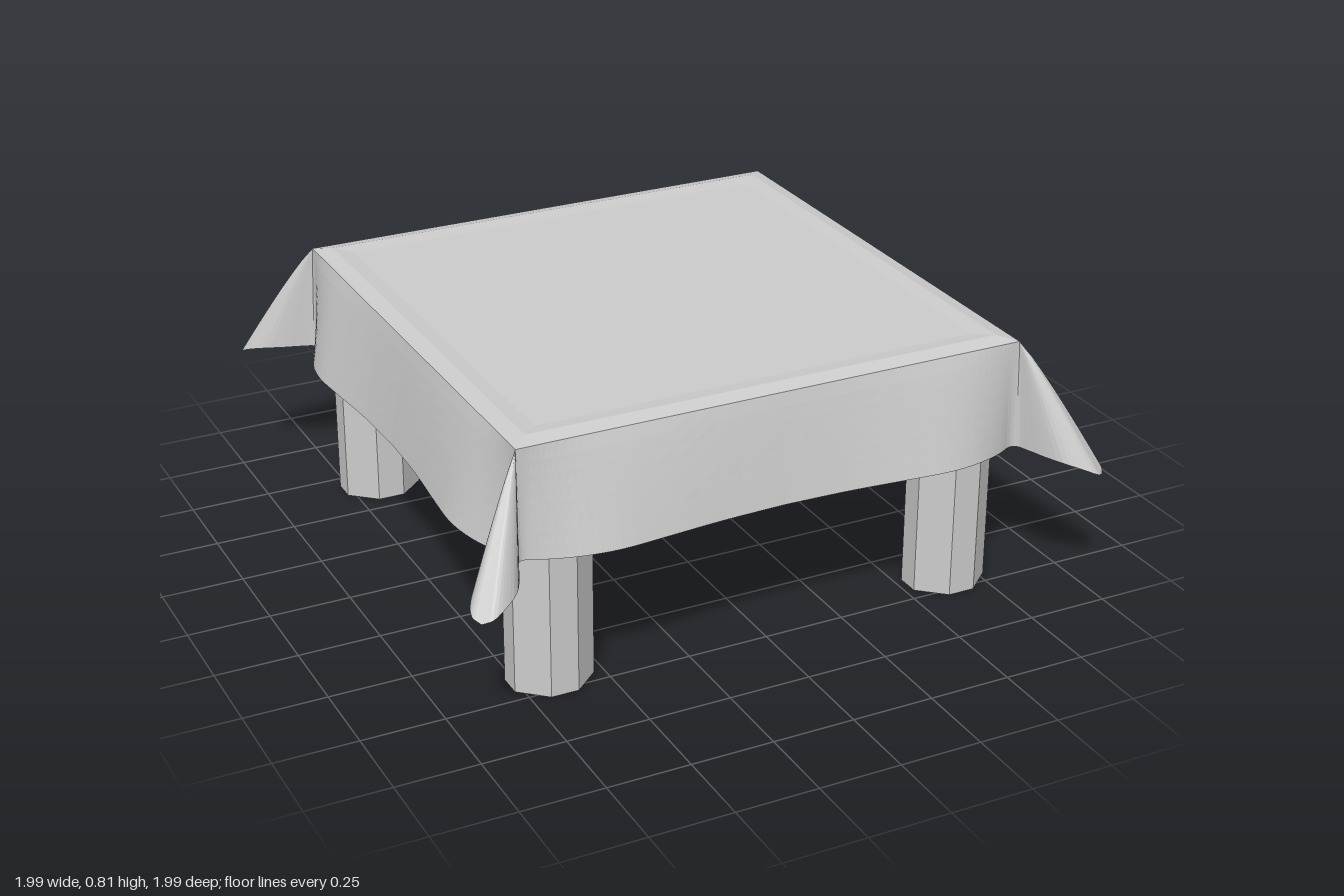
import * as THREE from 'three';

const HALF = 0.79; // half width of the covered table top

const cloth = new THREE.MeshStandardMaterial({ color: 0xcccccc, flatShading: true, side: THREE.DoubleSide });
const wood = new THREE.MeshStandardMaterial({ color: 0xcccccc, flatShading: true });

// Skins a list of closed loops (arrays of Vector3), ordered top to bottom
function loft(loops, capFirst) {
  const n = loops[0].length;
  const pos = loops.flat().flatMap((p) => [p.x, p.y, p.z]);
  const idx = [];
  for (let r = 0; r < loops.length - 1; r++) {
    for (let i = 0; i < n; i++) {
      const j = (i + 1) % n;
      const a = r * n + i, b = r * n + j, c = a + n, d = b + n;
      idx.push(a, c, b, b, c, d);
    }
  }
  if (capFirst) for (let i = 1; i < n - 1; i++) idx.push(0, i, i + 1);
  const g = new THREE.BufferGeometry();
  g.setAttribute('position', new THREE.Float32BufferAttribute(pos, 3));
  g.setIndex(idx);
  g.computeVertexNormals();
  return g;
}

// Hem of the cloth: half a side from its middle to the tip of the corner fold
function hemLoop() {
  const half = [
    [0, 0.477, 0.848], [0.2, 0.477, 0.855], [0.4, 0.477, 0.872], [0.52, 0.476, 0.879],
    [0.61, 0.474, 0.868], [0.68, 0.47, 0.845], [0.73, 0.467, 0.822], [0.77, 0.465, 0.8],
    [0.792, 0.464, 0.803], [0.81, 0.463, 0.84], [0.83, 0.461, 0.89], [0.862, 0.456, 0.945],
    [0.91, 0.44, 0.98], [0.95, 0.422, 0.993], [0.978, 0.41, 0.978],
  ].map((p) => new THREE.Vector3(...p));
  const a = new THREE.CatmullRomCurve3(half, false, 'centripetal').getPoints(42);
  const b = a.slice(1, -1).reverse().map((p) => new THREE.Vector3(p.z, p.y, p.x));
  const quarter = [...a, ...b];
  const loop = [];
  for (let k = 0; k < 4; k++) {
    quarter.forEach((p) => loop.push(p.clone().applyAxisAngle(new THREE.Vector3(0, 1, 0), k * Math.PI / 2)));
    loop.push(new THREE.Vector3(0, 0.477, 0.848).applyAxisAngle(new THREE.Vector3(0, 1, 0), (k + 1) * Math.PI / 2));
  }
  return loop;
}

// Hanging skirt: each hem point runs up to the nearest point of the table edge
function skirtGeometry() {
  const hem = hemLoop();
  const clamp = (v) => THREE.MathUtils.clamp(v, -HALF, HALF);
  const rows = 8;
  const loops = [];
  for (let r = 0; r <= rows; r++) {
    const v = r / rows;
    const out = Math.pow(v, 0.9);
    loops.push(hem.map((p) => new THREE.Vector3(
      THREE.MathUtils.lerp(clamp(p.x), p.x, out),
      THREE.MathUtils.lerp(0.795, p.y, v),
      THREE.MathUtils.lerp(clamp(p.z), p.z, out))));
  }
  return loft(loops, false);
}

// Flat cloth top with a faintly raised rim
function topGeometry() {
  const square = (h, y) => [[-h, h], [h, h], [h, -h], [-h, -h]].map(([x, z]) => new THREE.Vector3(x, y, z));
  return loft([square(0.69, 0.8), square(0.74, 0.806), square(HALF, 0.795)], true);
}

// Eight-sided leg, slightly wider than deep
function legGeometry() {
  const w = 0.122, d = 0.107, a = 0.042, b = 0.036;
  const shape = new THREE.Shape([
    [a, d], [-a, d], [-w, b], [-w, -b], [-a, -d], [a, -d], [w, -b], [w, b],
  ].map((p) => new THREE.Vector2(...p)));
  return new THREE.ExtrudeGeometry(shape, { depth: 0.72, bevelEnabled: false }).rotateX(-Math.PI / 2);
}

export function createModel() {
  const model = new THREE.Group();
  model.name = 'coveredTable';
  const add = (name, geometry, material) => {
    const mesh = new THREE.Mesh(geometry, material);
    mesh.name = name;
    model.add(mesh);
    return mesh;
  };

  add('clothTop', topGeometry(), cloth);
  add('clothSkirt', skirtGeometry(), cloth);
  add('tableTop', new THREE.BoxGeometry(1.55, 0.09, 1.55), wood).position.y = 0.745;

  // Four legs
  const leg = legGeometry();
  for (const [side, x] of [['Left', 0.648], ['Right', -0.652]]) {
    for (const [end, z] of [['front', 0.67], ['back', -0.663]]) {
      add(`${end}${side}Leg`, leg, wood).position.set(x, 0, z);
    }
  }
  return model;
}
